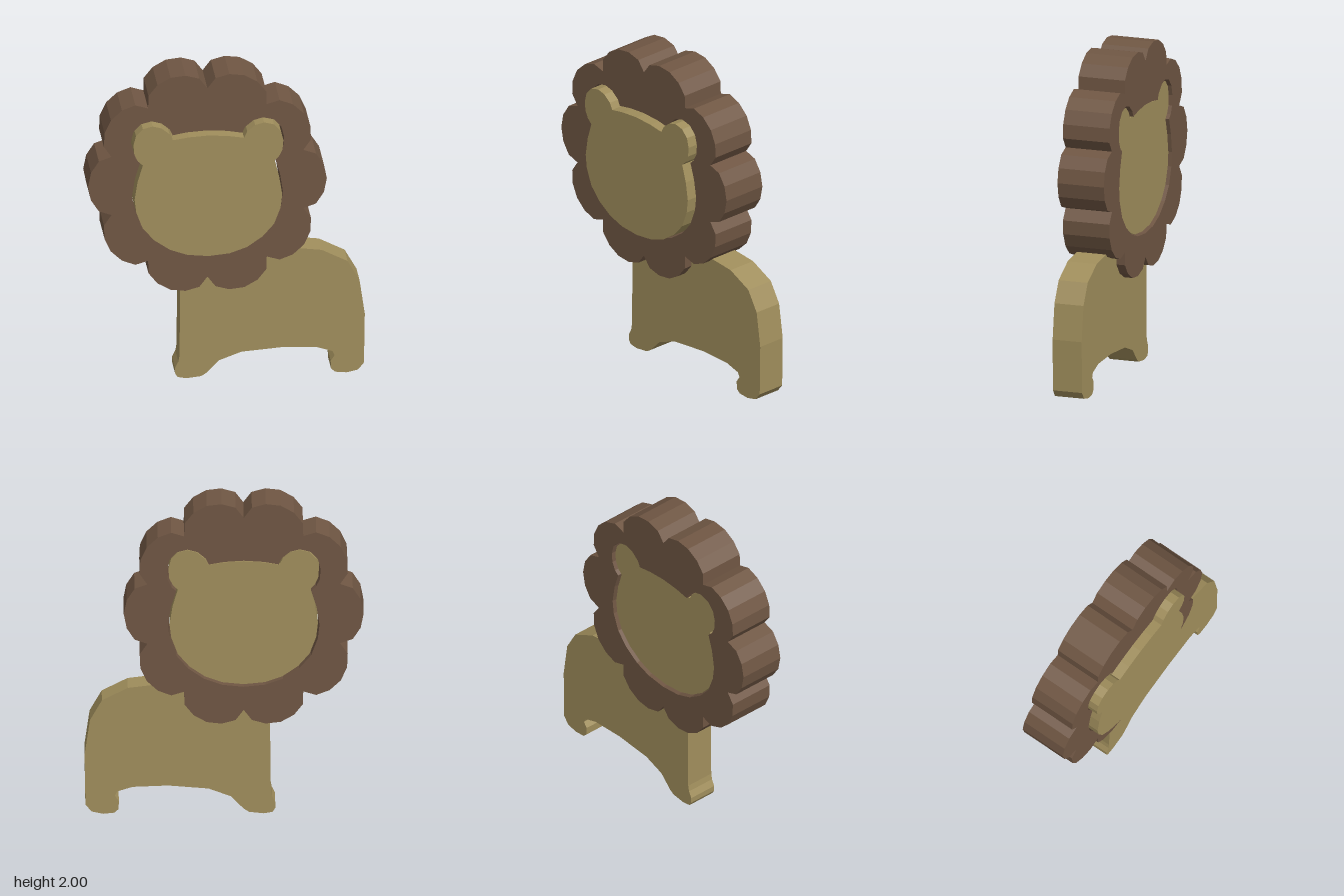
import * as THREE from 'three';

const HEAD_X = -0.123, HEAD_Y = 1.297;
const tan = new THREE.MeshStandardMaterial({ color: 0xa08e5c, flatShading: true });
const brown = new THREE.MeshStandardMaterial({ color: 0x6f5643, flatShading: true });

const toPoints = (list) => list.map(([x, y]) => new THREE.Vector2(x, y));

// Flat slab cut from a shape, spanning zBack..zFront
function slab(name, shape, zBack, zFront, material) {
  const geometry = new THREE.ExtrudeGeometry(shape, { depth: zFront - zBack, bevelEnabled: false });
  geometry.translate(0, 0, zBack);
  const mesh = new THREE.Mesh(geometry, material);
  mesh.name = name;
  return mesh;
}

// Push a clockwise outline outwards by a fixed clearance
function offsetOutline(points, d) {
  const n = points.length;
  return points.map((p, i) => {
    const a = p.clone().sub(points[(i + n - 1) % n]).normalize();
    const b = points[(i + 1) % n].clone().sub(p).normalize();
    const normal = new THREE.Vector2(-a.y - b.y, a.x + b.x).normalize();
    return p.clone().addScaledVector(normal, d);
  });
}

// Face with two round ears: right half, mirrored, clockwise from the top
function faceOutline() {
  const half = [
    [0, 1.628], [0.12, 1.62], [0.217, 1.605], [0.237, 1.645], [0.285, 1.685], [0.34, 1.7],
    [0.4, 1.685], [0.442, 1.64], [0.457, 1.58], [0.452, 1.52], [0.43, 1.475], [0.4, 1.447],
    [0.432, 1.34], [0.45, 1.225], [0.44, 1.14], [0.4, 1.035], [0.33, 0.955],
    [0.235, 0.89], [0.13, 0.853], [0, 0.84],
  ];
  const mirrored = half.slice(1, -1).reverse().map(([x, y]) => [-x, y]);
  return toPoints([...half, ...mirrored].map(([x, y]) => [x + HEAD_X, y]));
}

// Mane rim: ten scalloped lobes around the head centre
function maneOutline() {
  const lobe = [[0.585, -0.19], [0.662, -0.163], [0.71, -0.09], [0.728, 0], [0.71, 0.09], [0.662, 0.163]];
  const points = [];
  for (let i = 0; i < 10; i++) {
    const a = (i * Math.PI) / 5;
    for (const [r, t] of lobe) {
      points.push(new THREE.Vector2(
        HEAD_X + r * Math.cos(a) - t * Math.sin(a),
        HEAD_Y + r * Math.sin(a) + t * Math.cos(a),
      ));
    }
  }
  return points;
}

export function createModel() {
  const group = new THREE.Group();
  group.name = 'lion';

  // Mane ring with a face-shaped opening
  const face = faceOutline();
  const mane = new THREE.Shape(maneOutline());
  mane.holes.push(new THREE.Path(offsetOutline(face, 0.01)));
  group.add(slab('mane', mane, -0.18, 0.12, brown));

  // Face plug, standing proud at the front
  group.add(slab('face', new THREE.Shape(face), -0.16, 0.18, tan));

  // Body with front leg, belly arch and hind leg, slotted into the mane
  const body = toPoints([
    [-0.283, 0.6], [-0.288, 0.148], [-0.295, 0.11], [-0.315, 0.07], [-0.315, 0.035], [-0.3, 0.01],
    [-0.246, 0], [-0.156, 0.01], [-0.124, 0.03], [-0.045, 0.11], [0.09, 0.16], [0.335, 0.18],
    [0.55, 0.172], [0.645, 0.143], [0.658, 0.115], [0.634, 0.08], [0.636, 0.03], [0.66, 0.007],
    [0.73, 0], [0.8, 0.015], [0.837, 0.06], [0.842, 0.38], [0.81, 0.6], [0.737, 0.727],
    [0.58, 0.806], [0.415, 0.826], [0.2, 0.82], [-0.123, 0.8], [-0.28, 0.75],
  ]);
  group.add(slab('body', new THREE.Shape(body), -0.125, 0.063, tan));

  return group;
}
